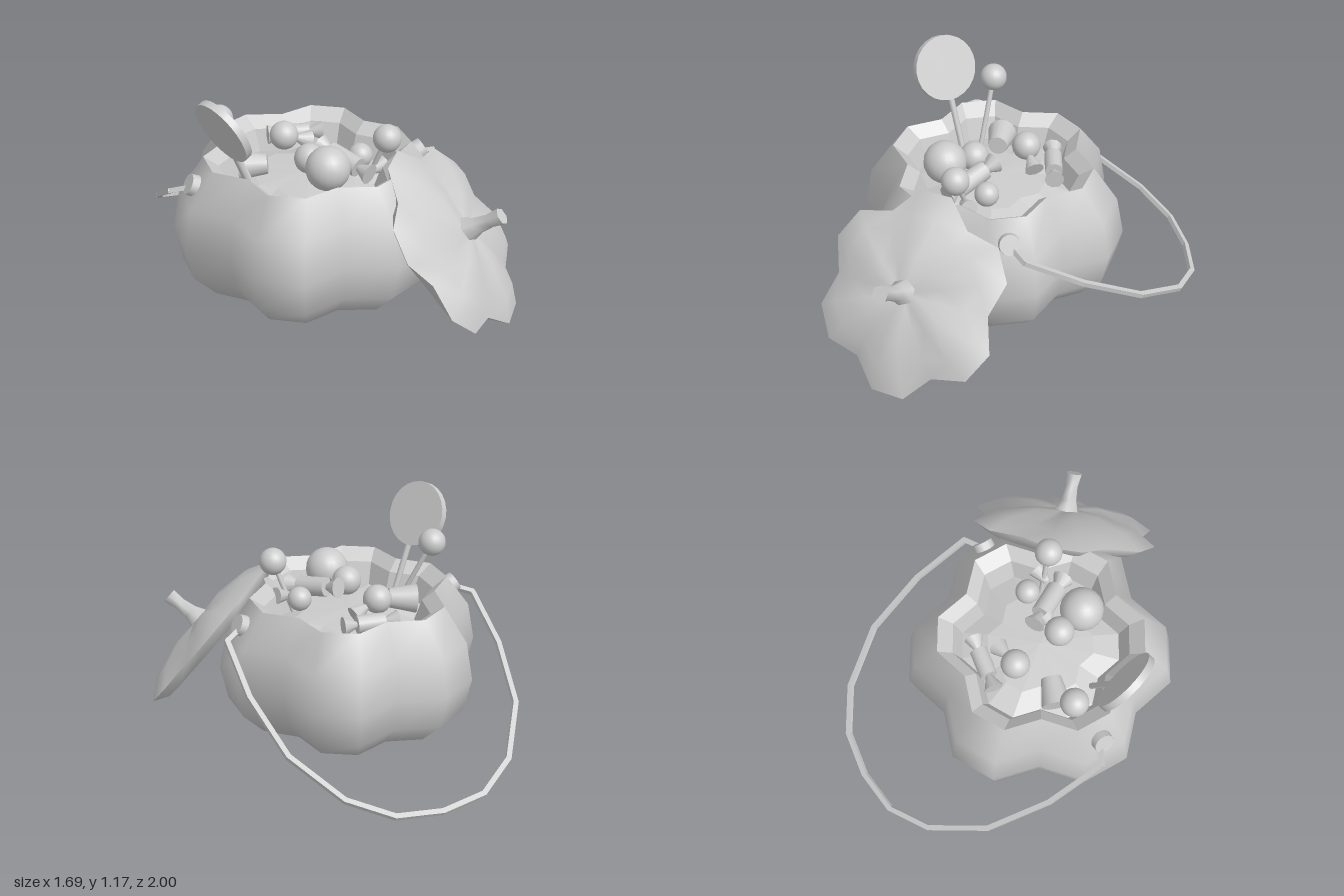
import * as THREE from 'three';

const mat = (flat = false) => new THREE.MeshStandardMaterial({ color: 0xcccccc, flatShading: flat, side: THREE.DoubleSide });
const smooth = mat(), faceted = mat(true);
const V = (x, y, z) => new THREE.Vector3(x, y, z);
const UP = V(0, 1, 0);

function add(parent, name, geometry, material = smooth) {
  const mesh = new THREE.Mesh(geometry, material);
  mesh.name = name;
  parent.add(mesh);
  return mesh;
}

// Six-lobed surface of revolution: profile of [radius, height, valley lift, valley radius factor]
function lobed(profile) {
  const n = 18, pos = [], index = [];
  for (const [r, y, lift = 0, factor = 0.83] of profile) {
    for (let i = 0; i < n; i++) {
      const a = (i / n) * Math.PI * 2, valley = i % 3 === 0;
      const k = r * (valley ? factor : 1);
      pos.push(Math.sin(a) * k, y + (valley ? lift : 0), Math.cos(a) * k);
    }
  }
  for (let j = 0; j < profile.length - 1; j++) {
    for (let i = 0; i < n; i++) {
      const a = j * n + i, b = j * n + (i + 1) % n;
      index.push(a, b, b + n, a, b + n, a + n);
    }
  }
  const g = new THREE.BufferGeometry();
  g.setAttribute('position', new THREE.Float32BufferAttribute(pos, 3));
  g.setIndex(index);
  g.computeVertexNormals();
  return g;
}

// Straight round rod from a to b, with radii at both ends
function rod(parent, name, a, b, ra, rb = ra, sides = 8) {
  const m = add(parent, name, new THREE.CylinderGeometry(rb, ra, a.distanceTo(b), sides));
  m.position.copy(a).lerp(b, 0.5);
  m.quaternion.setFromUnitVectors(UP, b.clone().sub(a).normalize());
}

function ball(parent, name, p, r) {
  add(parent, name, new THREE.SphereGeometry(r, 20, 14)).position.copy(p);
}

// Cylindrical sweet with a flared wrapper twist at both ends
function wrappedCandy(parent, a, b, r) {
  const g = new THREE.Group();
  g.name = 'wrappedCandy';
  parent.add(g);
  const d = b.clone().sub(a).normalize();
  const at = (p, s) => p.clone().addScaledVector(d, s);
  rod(g, 'candyBody', a, b, r, r, 14);
  rod(g, 'wrapperEnd', a, at(a, -0.07), r * 0.35, r * 1.1, 10);
  rod(g, 'wrapperEnd', b, at(b, 0.07), r * 0.35, r * 1.1, 10);
}

function buildBucket(root) {
  const bucket = new THREE.Group();
  bucket.name = 'pumpkinBucket';
  bucket.position.set(-0.14, 0, 0.075);
  root.add(bucket);
  add(bucket, 'pumpkinShell', lobed([
    [0, 0.06], [0.14, 0.035, 0.01], [0.33, 0.005, 0.02], [0.53, 0.08], [0.645, 0.2],
    [0.683, 0.38], [0.645, 0.58], [0.52, 0.755]]));
  add(bucket, 'cutRim', lobed([[0.52, 0.755], [0.445, 0.7], [0.39, 0.56]]), faceted);
  add(bucket, 'candyBed', lobed([[0.4, 0.59], [0.27, 0.625], [0, 0.64]]), faceted);
}

function buildHandle(root) {
  const handle = new THREE.Group();
  handle.name = 'handle';
  root.add(handle);
  // Half of the bail: [offset from the middle, z], lying in a sloping plane
  const half = [[0.58, 0.08], [0.69, 0.02], [0.69, -0.27], [0.62, -0.58], [0.44, -0.83], [0.235, -0.955], [0, -0.985]];
  const normal = V(0, 1, -0.57).normalize();
  for (const s of [-1, 1]) {
    const pts = half.map(([x, z]) => V(-0.14 + s * x, 0.65 + (z - 0.08) * 0.57, z));
    for (let i = 0; i + 1 < pts.length; i++) {
      const d = pts[i + 1].clone().sub(pts[i]);
      const bar = add(handle, 'handleBar', new THREE.BoxGeometry(0.026, d.length() + 0.008, 0.024), faceted);
      d.normalize();
      bar.position.copy(pts[i]).lerp(pts[i + 1], 0.5);
      bar.quaternion.setFromRotationMatrix(new THREE.Matrix4().makeBasis(d.clone().cross(normal), d, normal));
    }
    rod(handle, 'handlePeg', V(-0.14 + s * 0.54, 0.63, 0.08), V(-0.14 + s * 0.615, 0.67, 0.08), 0.058, 0.052, 14);
  }
}

function buildLid(root) {
  const lid = new THREE.Group();
  lid.name = 'lid';
  const n = V(0.607, 0.615, 0.505).normalize();
  const x = V(0.64, 0, -0.77).normalize();
  lid.quaternion.setFromRotationMatrix(new THREE.Matrix4().makeBasis(x, n, x.clone().cross(n)));
  lid.position.set(0.445, 0.402, 0.56);
  root.add(lid);
  const turn = THREE.MathUtils.degToRad(35);
  add(lid, 'lidTop', lobed([[0.51, 0], [0.39, 0.065, -0.015], [0.2, 0.1, -0.02], [0.08, 0.095], [0, 0.09]]).rotateY(turn));
  add(lid, 'lidUnderside', lobed([[0, -0.03], [0.25, -0.035], [0.43, -0.05, 0, 0.93], [0.51, 0]]).rotateY(turn));

  // Hexagonal stem, flared at the base and bent towards the tip
  const stem = new THREE.CylinderGeometry(1, 1, 0.22, 6, 3);
  const p = stem.attributes.position;
  const radii = [0.075, 0.045, 0.036, 0.045];
  for (let i = 0; i < p.count; i++) {
    const t = p.getY(i) / 0.22 + 0.5, r = radii[Math.round(t * 3)];
    p.setXYZ(i, p.getX(i) * r - 0.01 * t, 0.075 + t * 0.215, p.getZ(i) * r - 0.01 + 0.02 * t);
  }
  stem.computeVertexNormals();
  add(lid, 'stem', stem);
}

function buildSweets(root) {
  const sweets = new THREE.Group();
  sweets.name = 'sweets';
  root.add(sweets);

  // Flat lollipop
  const c = V(-0.615, 1.008, 0.255), n = V(0.85, 0.4, -0.34).normalize();
  rod(sweets, 'lollipopDisc', c.clone().addScaledVector(n, -0.018), c.clone().addScaledVector(n, 0.018), 0.17, 0.17, 24);
  rod(sweets, 'lollipopStick', V(-0.56, 0.87, 0.235), V(-0.45, 0.6, 0.19), 0.016);

  // Round lollipops
  for (const [head, foot] of [[V(-0.57, 0.955, 0.005), V(-0.43, 0.6, 0.1)], [V(0.187, 0.865, 0.303), V(0.11, 0.6, 0.22)]]) {
    ball(sweets, 'lollipopBall', head, 0.07);
    rod(sweets, 'lollipopStick', head, foot, 0.013);
  }

  // Loose balls
  ball(sweets, 'gumball', V(-0.122, 0.762, 0.318), 0.11);
  ball(sweets, 'gumball', V(0.11, 0.71, 0.14), 0.062);

  // Round sweets with a twisted wrapper end
  for (const [p, q, r] of [[V(-0.207, 0.757, -0.11), V(-0.07, 0.7, -0.13), 0.073], [V(-0.165, 0.75, 0.165), V(-0.07, 0.74, 0.145), 0.075]]) {
    ball(sweets, 'roundCandy', p, r);
    const d = q.clone().sub(p).normalize();
    rod(sweets, 'wrapperEnd', p.clone().addScaledVector(d, r * 0.9), q, 0.015, 0.05, 10);
  }

  wrappedCandy(sweets, V(-0.18, 0.7, -0.245), V(-0.04, 0.7, -0.225), 0.045);
  wrappedCandy(sweets, V(-0.04, 0.75, 0.13), V(0.05, 0.715, 0.275), 0.05);

  // Tapered chew near the rim
  rod(sweets, 'taperedChew', V(-0.47, 0.67, -0.025), V(-0.335, 0.68, 0.02), 0.075, 0.05, 14);
  rod(sweets, 'wrapperEnd', V(0.12, 0.68, 0.26), V(0.2, 0.7, 0.24), 0.02, 0.045, 10);
}

export function createModel() {
  const root = new THREE.Group();
  root.name = 'pumpkinCandyBucket';
  buildBucket(root);
  buildHandle(root);
  buildLid(root);
  buildSweets(root);
  return root;
}
